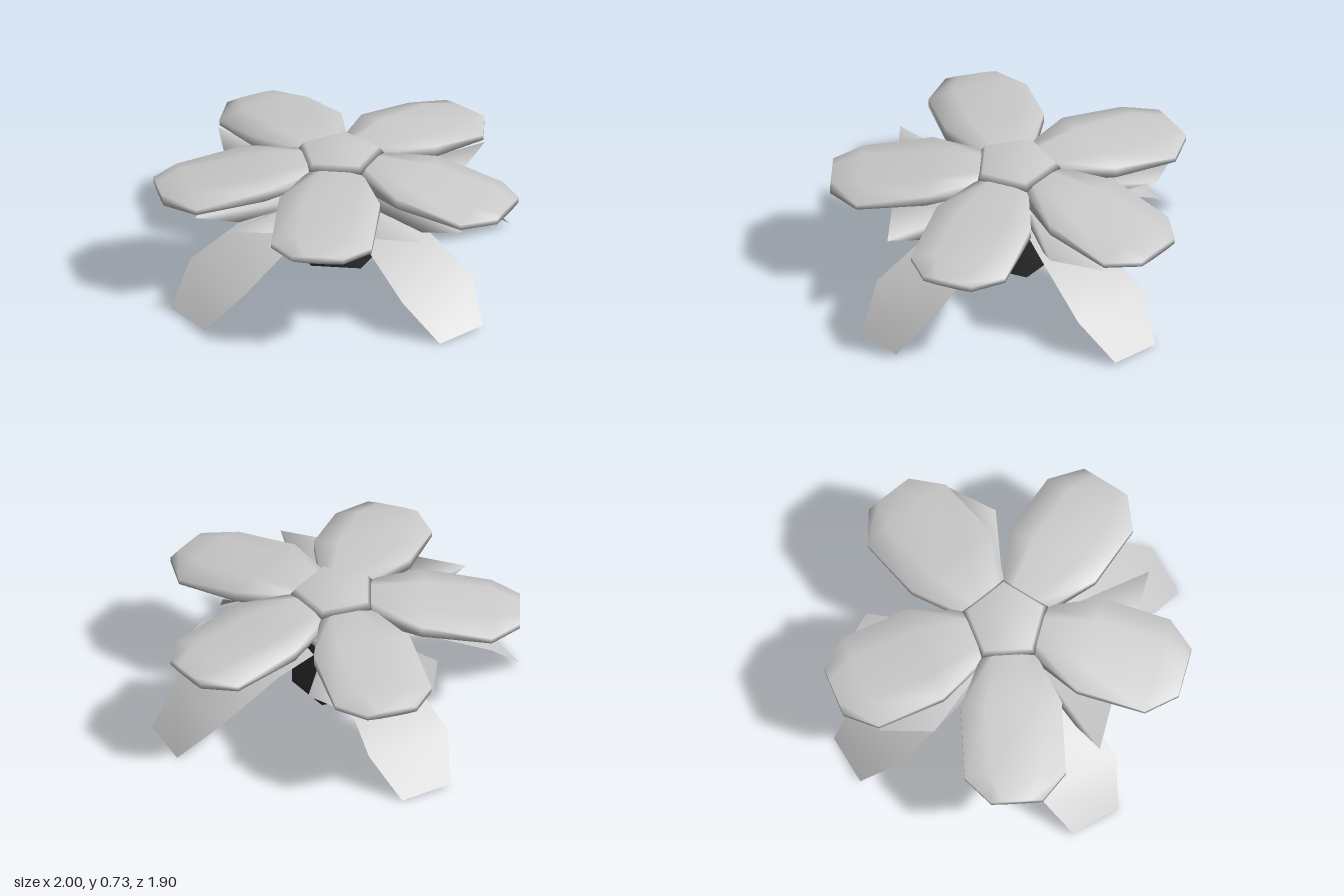
import * as THREE from 'three';
import { mergeVertices } from 'three/addons/utils/BufferGeometryUtils.js';

const grey = () => new THREE.MeshStandardMaterial({ color: 0xcccccc });

// Indexed geometry with normals smoothed over every edge
function smoothGeometry(points, index) {
  const g = new THREE.BufferGeometry();
  g.setAttribute('position', new THREE.Float32BufferAttribute(points, 3));
  g.setIndex(index);
  g.computeVertexNormals();
  return g;
}

// Skin a closed solid through rings of [x, y, z] points, each counter-clockwise seen from +z
function loft(rings) {
  const n = rings[0].length, last = (rings.length - 1) * n, index = [];
  for (let s = 0; s < rings.length - 1; s++) {
    for (let i = 0; i < n; i++) {
      const a = s * n + i, b = s * n + (i + 1) % n;
      index.push(a, b, b + n, a, b + n, a + n);
    }
  }
  for (let i = 1; i < n - 1; i++) {
    index.push(0, i + 1, i, last, last + i, last + i + 1);
  }
  return smoothGeometry(rings.flat(2), index);
}

// Upright prism with its caps smoothed into its sides
function prism(top, bottom, height, sides) {
  const g = new THREE.CylinderGeometry(top, bottom, height, sides, 1, false, Math.PI);
  g.deleteAttribute('normal');
  g.deleteAttribute('uv');
  const merged = mergeVertices(g);
  merged.computeVertexNormals();
  return merged;
}

// Petal cross-section: flat crown, drooping shoulders, thin rim, shallow belly
function petalRing([z, half, top, rimTop, rimLow, low]) {
  const f = half * 0.5;
  return [
    [-f, low, z], [f, low, z], [half, rimLow, z], [half, rimTop, z],
    [f, top, z], [-f, top, z], [-half, rimTop, z], [-half, rimLow, z],
  ];
}

function petalGeometry() {
  const stations = [ // z, half width, crown, rim top, rim bottom, belly
    [0.17, 0.14, 0.70, 0.69, 0.61, 0.60],
    [0.47, 0.275, 0.68, 0.665, 0.605, 0.58],
    [0.85, 0.275, 0.635, 0.59, 0.56, 0.55],
    [1.004, 0.14, 0.60, 0.595, 0.565, 0.56],
  ];
  return loft(stations.map(petalRing));
}

// One pointed half of a sepal, undercut below its rim; side is +1 or -1
function sepalGeometry(side, tipX, tipZ, innerZ) {
  const outer = [[0.18, 0.47, 0.48], [0.41, 0.47, 0.50], [tipX, 0.545, tipZ], [0.23, 0.55, innerZ]];
  const inner = [[0.02, 0.47, 0.06], [0.06, 0.47, 0.07], [0.06, 0.53, 0.08], [0.02, 0.53, 0.08]];
  const rings = [inner, outer].map((r) => {
    const m = r.map(([x, y, z]) => [x * side, y, z]);
    return side < 0 ? m.reverse() : m;
  });
  return loft(rings);
}

// Thin drooping leaf strip
function leafGeometry() {
  const rows = [[0.06, 0.06, 0.425], [0.44, 0.19, 0.395], [0.82, 0.24, 0.21], [1.023, 0.146, 0.01]]; // z, half width, y
  const pos = [], index = [];
  rows.forEach(([z, w, y], i) => {
    pos.push(-w, y - 0.01, z - 0.008, w, y + 0.01, z + 0.008);
    const a = i * 2;
    if (i < rows.length - 1) index.push(a, a + 2, a + 1, a + 1, a + 2, a + 3);
  });
  return smoothGeometry(pos, index);
}

export function createModel() {
  const model = new THREE.Group();
  const flower = new THREE.Group();
  flower.name = 'flower';
  flower.position.z = -0.055;
  model.add(flower);

  const add = (name, geometry, material, angle = 0, y = 0) => {
    const m = new THREE.Mesh(geometry, material);
    m.name = name;
    m.rotation.y = angle;
    m.position.y = y;
    flower.add(m);
    return m;
  };

  // Five-sided stem block with collar, crown and a small stub below
  const dark = new THREE.MeshStandardMaterial({ color: 0x333333 });
  add('stem', prism(0.235, 0.235, 0.58, 5), dark, 0, 0.40);
  add('collar', prism(0.27, 0.24, 0.08, 5), grey(), 0, 0.51);
  add('crown', prism(0.215, 0.245, 0.04, 5), grey(), 0, 0.71);
  add('stub', prism(0.045, 0.038, 0.03, 8), grey(), 0, 0.105);

  // Ring of petals
  const petal = petalGeometry();
  for (let i = 0; i < 5; i++) add('petal', petal, grey(), (i * Math.PI * 2) / 5);

  // Four split sepals: heading in degrees, tip x, tip z, inner corner z
  const sepals = [
    [0, 0.53, 0.665, 0.66],
    [90, 0.53, 0.73, 0.66],
    [169.5, 0.47, 0.75, 0.73],
    [270, 0.53, 0.73, 0.66],
  ];
  for (const [heading, ...size] of sepals) {
    for (const side of [1, -1]) {
      add('sepal', sepalGeometry(side, ...size), grey(), THREE.MathUtils.degToRad(heading));
    }
  }

  // Four leaves, mirrored left to right and front to back
  const leaf = leafGeometry();
  const mirroredLeaf = leaf.clone().scale(-1, 1, 1);
  mirroredLeaf.index.array.reverse();
  mirroredLeaf.computeVertexNormals();
  const leafMaterial = grey();
  leafMaterial.side = THREE.DoubleSide;
  for (const [heading, geometry] of [[47, leaf], [-47, mirroredLeaf], [133, mirroredLeaf], [-133, leaf]]) {
    add('leaf', geometry, leafMaterial, THREE.MathUtils.degToRad(heading));
  }
  return model;
}
